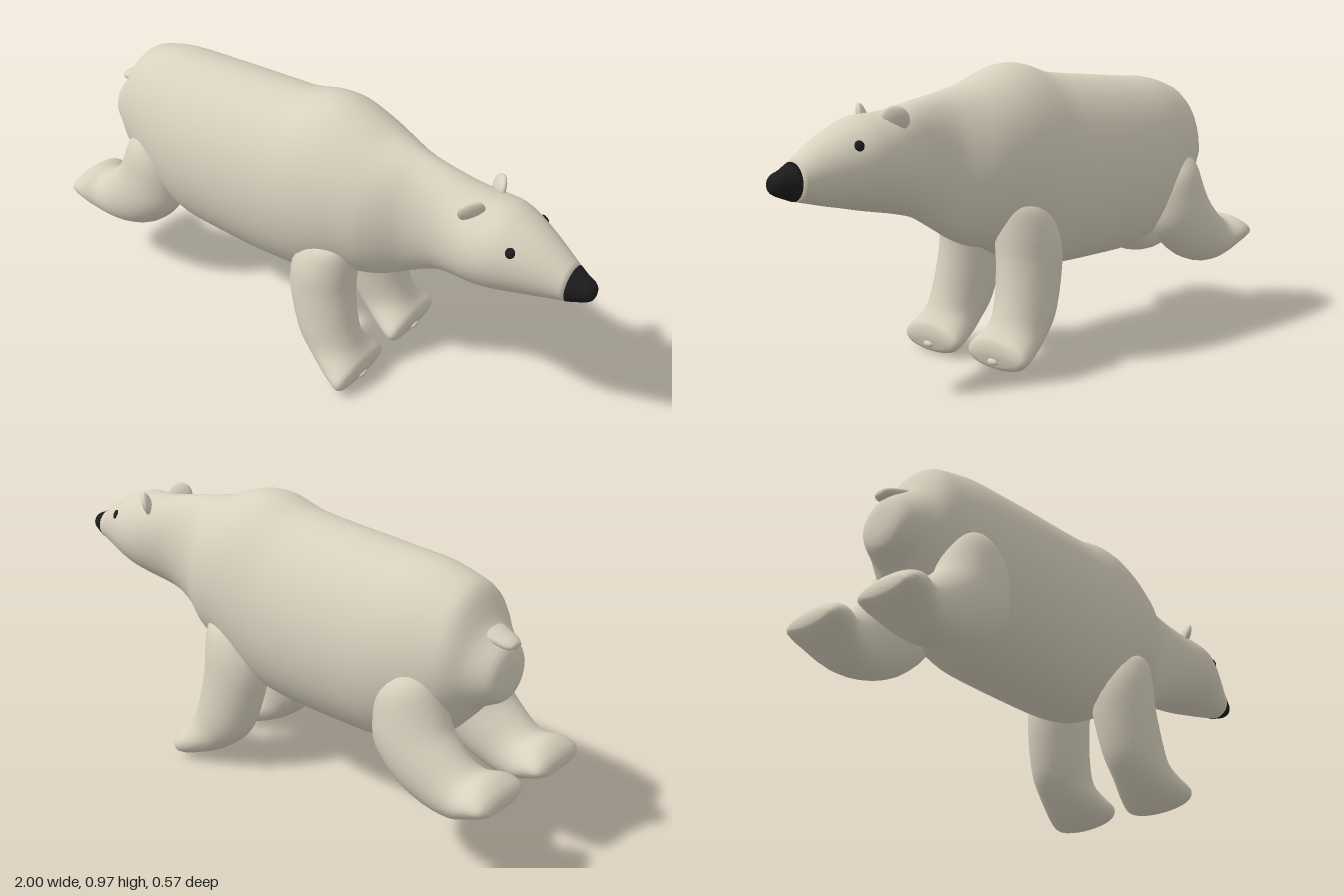
import * as THREE from 'three';

const fur = new THREE.MeshStandardMaterial({ color: 0xd8d1be });
fur.name = 'cream fur';
const black = new THREE.MeshStandardMaterial({ color: 0x1c1c1d });
black.name = 'black';

// Smooth closed loft. Each section is an ellipse:
// [x, y of lower edge, x, y of upper edge, z of centre, half width]
function loft(sections, side = 1, around = 28, sub = 3) {
  const curve = (f) => new THREE.CatmullRomCurve3(sections.map(f), false, 'catmullrom', 0.5);
  const lower = curve((s) => new THREE.Vector3(s[0], s[1], 0));
  const upper = curve((s) => new THREE.Vector3(s[2], s[3], 0));
  const width = curve((s) => new THREE.Vector3(s[4] * side, s[5], 0));
  const rings = (sections.length - 1) * sub;
  const pos = [];
  const idx = [];
  for (let i = 0; i <= rings; i++) {
    const a = lower.getPoint(i / rings);
    const b = upper.getPoint(i / rings);
    const w = width.getPoint(i / rings);
    for (let j = 0; j < around; j++) {
      const t = (j / around) * Math.PI * 2;
      const k = 0.5 + 0.5 * Math.cos(t);
      pos.push(a.x + (b.x - a.x) * k, a.y + (b.y - a.y) * k, w.x + w.y * Math.sin(t));
      if (i < rings) {
        const p = i * around + j;
        const q = i * around + ((j + 1) % around);
        idx.push(p, q, p + around, q, q + around, p + around);
      }
    }
  }
  // End caps
  const ends = [sections[0], sections[sections.length - 1]];
  ends.forEach((s, e) => {
    const c = pos.length / 3;
    pos.push((s[0] + s[2]) / 2, (s[1] + s[3]) / 2, s[4] * side);
    const base = e * rings * around;
    for (let j = 0; j < around; j++) {
      const p = base + j;
      const q = base + ((j + 1) % around);
      if (e) idx.push(p, q, c);
      else idx.push(q, p, c);
    }
  });
  // Turn the faces outwards if the enclosed volume is negative
  const v = (i) => new THREE.Vector3().fromArray(pos, i * 3);
  let volume = 0;
  for (let i = 0; i < idx.length; i += 3) {
    volume += v(idx[i]).dot(v(idx[i + 1]).cross(v(idx[i + 2])));
  }
  if (volume < 0) idx.reverse();
  const geo = new THREE.BufferGeometry();
  geo.setAttribute('position', new THREE.Float32BufferAttribute(pos, 3));
  geo.setIndex(idx);
  geo.computeVertexNormals();
  return geo;
}

// Upright section of the trunk: x, top, bottom, half width
const upright = ([x, top, bottom, w]) => [x, bottom, x, top, 0, w];

const rump = [
  [-0.895, 0.67, 0.59, 0.04], [-0.88, 0.72, 0.55, 0.085], [-0.84, 0.755, 0.525, 0.115],
  [-0.81, 0.79, 0.505, 0.135], [-0.765, 0.872, 0.45, 0.168], [-0.7, 0.9, 0.38, 0.19],
  [-0.61, 0.918, 0.325, 0.212], [-0.5, 0.922, 0.29, 0.23],
];
const barrel = [
  [-0.35, 0.93, 0.283, 0.237], [-0.2, 0.938, 0.28, 0.237], [-0.08, 0.95, 0.282, 0.233],
  [0.02, 0.977, 0.295, 0.228], [0.1, 0.977, 0.33, 0.22], [0.18, 0.952, 0.37, 0.207],
];
const neckAndHead = [
  [0.26, 0.92, 0.39, 0.188], [0.32, 0.905, 0.415, 0.158], [0.39, 0.89, 0.455, 0.12],
  [0.48, 0.872, 0.505, 0.109], [0.56, 0.852, 0.527, 0.127], [0.63, 0.842, 0.54, 0.143],
  [0.7, 0.837, 0.553, 0.142], [0.76, 0.815, 0.566, 0.124], [0.82, 0.785, 0.578, 0.1],
  [0.88, 0.747, 0.592, 0.075], [0.925, 0.715, 0.602, 0.058],
];
const nose = [
  [0.925, 0.716, 0.601, 0.059], [0.955, 0.698, 0.612, 0.046],
  [0.98, 0.688, 0.622, 0.036], [0.994, 0.677, 0.631, 0.024], [1.0, 0.662, 0.646, 0.008],
];
const frontLeg = [
  [0.1, 0.54, 0.2, 0.55, 0.13, 0.04], [0.04, 0.5, 0.22, 0.51, 0.13, 0.08],
  [-0.005, 0.42, 0.225, 0.43, 0.133, 0.1], [-0.01, 0.32, 0.225, 0.35, 0.14, 0.1],
  [0.03, 0.17, 0.24, 0.24, 0.152, 0.097], [0.08, 0.1, 0.262, 0.165, 0.157, 0.096],
  [0.16, 0.042, 0.28, 0.13, 0.157, 0.114], [0.24, 0.008, 0.297, 0.105, 0.157, 0.13],
  [0.272, 0.008, 0.3, 0.075, 0.157, 0.112], [0.285, 0.02, 0.297, 0.055, 0.157, 0.07],
];
const hindLeg = [
  [-0.6, 0.62, -0.68, 0.648, 0.15, 0.04], [-0.545, 0.54, -0.73, 0.605, 0.15, 0.083],
  [-0.53, 0.45, -0.765, 0.53, 0.15, 0.1], [-0.55, 0.36, -0.79, 0.475, 0.157, 0.103],
  [-0.64, 0.272, -0.825, 0.435, 0.16, 0.102], [-0.75, 0.225, -0.865, 0.4, 0.16, 0.095],
  [-0.85, 0.218, -0.9, 0.382, 0.155, 0.099], [-0.92, 0.253, -0.945, 0.383, 0.152, 0.118],
  [-0.98, 0.285, -0.982, 0.362, 0.15, 0.113], [-0.999, 0.303, -0.999, 0.337, 0.15, 0.08],
];
const tail = [
  [-0.79, 0.735, -0.79, 0.785, 0, 0.056], [-0.83, 0.728, -0.835, 0.768, 0, 0.05],
  [-0.88, 0.717, -0.885, 0.75, 0, 0.037], [-0.9, 0.722, -0.902, 0.738, 0, 0.022],
];

export function createModel() {
  const bear = new THREE.Group();
  bear.name = 'bear';
  const add = (name, geo, mat) => {
    const mesh = new THREE.Mesh(geo, mat);
    mesh.name = name;
    bear.add(mesh);
    return mesh;
  };

  add('body', loft([...rump, ...barrel, ...neckAndHead].map(upright), 1, 36), fur);
  add('nose', loft(nose.map(upright), 1, 36), black);
  add('tail', loft(tail, 1, 16), fur);

  for (const side of [1, -1]) {
    const label = side > 0 ? 'near' : 'far';
    add(label + 'FrontLeg', loft(frontLeg, side), fur);
    add(label + 'HindLeg', loft(hindLeg, side), fur);

    // Small pads on the soles
    const sphere = new THREE.SphereGeometry(1, 14, 10);
    const frontPad = add(label + 'FrontPad', sphere, fur);
    frontPad.scale.set(0.012, 0.012, 0.022);
    frontPad.position.set(0.29, 0.037, 0.157 * side);
    const hindPad = add(label + 'HindPad', sphere, fur);
    hindPad.scale.set(0.008, 0.012, 0.022);
    hindPad.position.set(-0.992, 0.32, 0.15 * side);

    // Ears: flat rounded discs turned outwards
    const ear = add(label + 'Ear', new THREE.SphereGeometry(1, 20, 14), fur);
    ear.scale.set(0.016, 0.042, 0.043);
    ear.position.set(0.61, 0.825, 0.08 * side);
    ear.rotation.set(0, -0.75 * side, -0.3, 'YXZ');

    // Eyes: thin ovals lying on the head
    const eye = add(label + 'Eye', new THREE.SphereGeometry(1, 16, 10), black);
    eye.scale.set(0.015, 0.017, 0.007);
    eye.position.set(0.762, 0.757, 0.104 * side);
    eye.lookAt(0.8, 0.8, 0.19 * side);
  }
  return bear;
}
